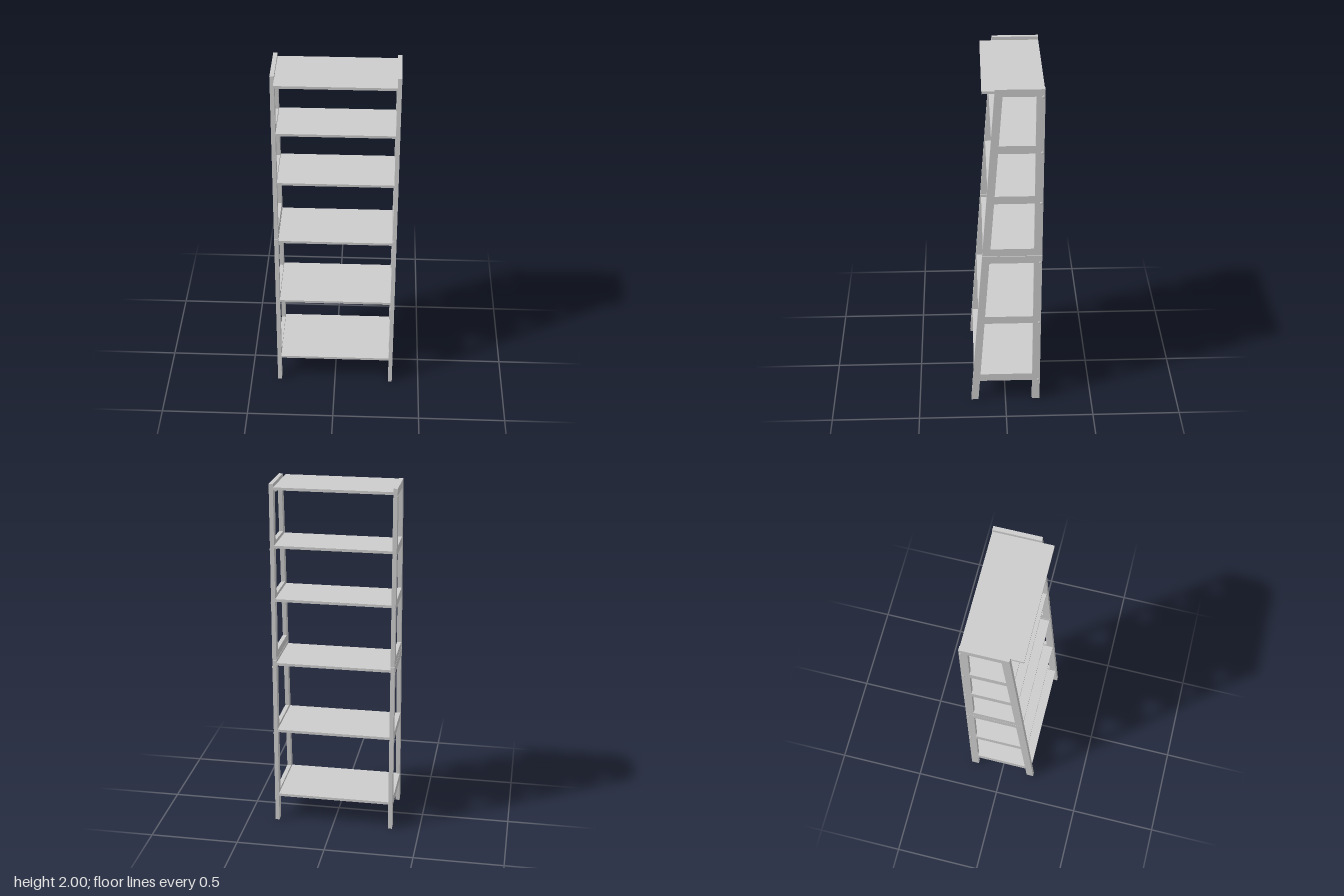
import * as THREE from 'three';

export function createModel() {
  const group = new THREE.Group();
  const paint = new THREE.MeshStandardMaterial({ color: 0xcccccc });
  paint.name = 'light grey';

  const inner = 0.32, outer = 0.343, thick = outer - inner;
  const back = -0.2, postFront = -0.155;
  const frontZ = y => 0.2 - 0.0725 * y;          // leaning front edge
  const legZ = y => frontZ(y) - 0.042;           // inside edge of the front leg

  function add(parent, name, geometry, x = 0, y = 0, z = 0) {
    const mesh = new THREE.Mesh(geometry, paint);
    mesh.name = name;
    mesh.position.set(x, y, z);
    parent.add(mesh);
    return mesh;
  }
  const points = list => list.map(([z, y]) => new THREE.Vector2(z, y));

  // Extrudes a (z, y) shape along x, from x0 - depth to x0
  function extrudeSide(shape, depth) {
    return new THREE.ExtrudeGeometry(shape, { depth, bevelEnabled: false }).rotateY(-Math.PI / 2);
  }

  // Side panel: outline with openings between the rails
  function panel(outline, openings) {
    const shape = new THREE.Shape(points(outline));
    for (const [y0, y1] of openings) {
      shape.holes.push(new THREE.Path(points([
        [postFront, y0], [postFront, y1], [legZ(y1), y1], [legZ(y0), y0],
      ])));
    }
    return extrudeSide(shape, thick);
  }

  const lowerPanel = panel([
    [back, 0], [postFront, 0], [postFront, 0.137], [legZ(0.137), 0.137], [legZ(0), 0],
    [frontZ(0), 0], [frontZ(1), 1], [back, 1],
  ], [[0.185, 0.548], [0.595, 0.955]]);
  const upperPanel = panel([
    [back, 1.003], [frontZ(1.003), 1.003], [frontZ(2), 2], [back, 2],
  ], [[1.048, 1.333], [1.379, 1.634], [1.68, 1.959]]);

  // Shelves: bottom height, front edge and screw height
  const shelves = [
    [0.155, 0.183, 0.139], [0.563, 0.153, 0.55], [0.97, 0.122, 0.957],
    [1.345, 0.095, 1.335], [1.647, 0.073, 1.637], [1.966, 0.122, 1.957],
  ];
  const shelfThick = 0.015;

  for (const [side, s] of [['left', 1], ['right', -1]]) {
    const frame = new THREE.Group();
    frame.name = side + 'SideFrame';
    group.add(frame);
    const x = s > 0 ? outer : -inner;
    add(frame, 'lowerPanel', lowerPanel, x);
    add(frame, 'upperPanel', upperPanel, x);

    // Dowels joining the stacked panels
    for (const z of [-0.178, 0.106]) {
      add(frame, 'dowel', new THREE.CylinderGeometry(0.006, 0.006, 0.04, 12), s * (inner + thick / 2), 1.0015, z);
    }
    for (const [y, , screwY] of shelves) {
      // Screw heads on the back post
      const screw = new THREE.SphereGeometry(0.008, 16, 6, 0, Math.PI * 2, 0, Math.PI / 2);
      screw.scale(1, 0.5, 1).rotateZ(-s * Math.PI / 2);
      add(frame, 'screwHead', screw, s * outer, screwY, -0.19);
      // Small cleat under the shelf end
      add(frame, 'cleat', new THREE.BoxGeometry(0.006, 0.018, 0.06), s * (inner - 0.003), y - 0.009, -0.12);
    }
  }

  for (const [y, front] of shelves) {
    add(group, 'shelf', new THREE.BoxGeometry(inner * 2, shelfThick, front - back), 0, y + shelfThick / 2, (front + back) / 2);
  }
  return group;
}
